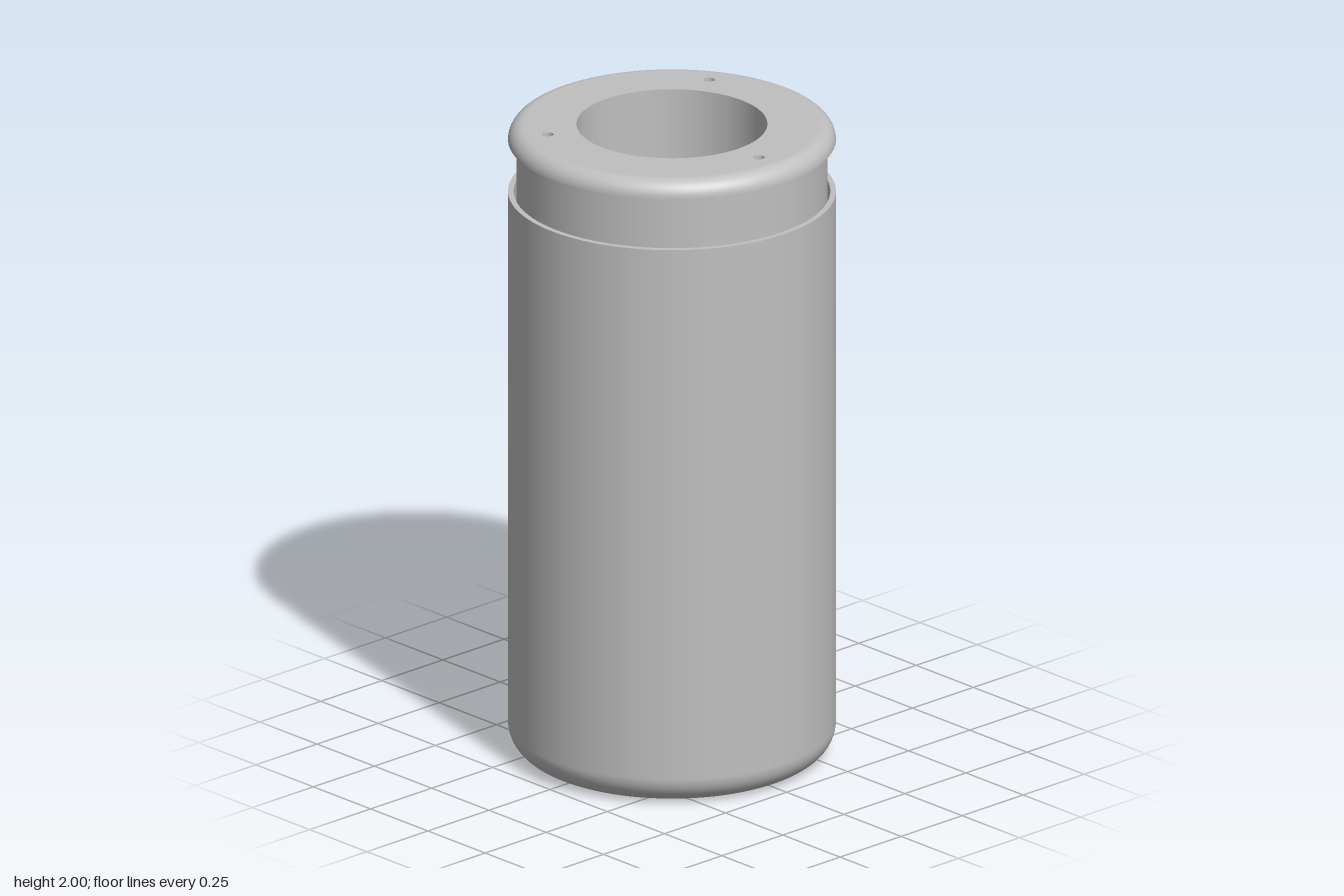
import * as THREE from 'three';

const SEG = 96;
const holes = [[0, 0.38], [0.33, -0.19], [-0.33, -0.19]]; // x, z of the bolt holes
const HOLE_R = 0.017;

// Points of a rounded corner, from angle a0 to a1
function arc(cx, cy, r, a0, a1, n = 12) {
  return Array.from({ length: n + 1 }, (_, i) => {
    const a = a0 + (a1 - a0) * i / n;
    return [cx + r * Math.cos(a), cy + r * Math.sin(a)];
  });
}

export function createModel() {
  const model = new THREE.Group();
  const grey = new THREE.MeshStandardMaterial({ color: 0xc0c0c0 });
  grey.name = 'satin grey';
  grey.side = THREE.DoubleSide;

  const add = (name, geometry, parent) => {
    const mesh = new THREE.Mesh(geometry, grey);
    mesh.name = name;
    parent.add(mesh);
    return mesh;
  };
  // One smooth run of a turned profile; separate runs keep the edges sharp
  const turn = (name, points, parent) =>
    add(name, new THREE.LatheGeometry(points.map(p => new THREE.Vector2(...p)), SEG), parent);

  // Flat disc pierced by the bolt holes; dir = 1 faces up, -1 faces down
  const plate = (name, radius, y, dir, bore, parent) => {
    const shape = new THREE.Shape().absarc(0, 0, radius, 0, Math.PI * 2);
    const pierce = (x, v, r) => shape.holes.push(new THREE.Path().absarc(x, v, r, 0, Math.PI * 2, true));
    for (const [x, z] of holes) pierce(x, -dir * z, HOLE_R);
    if (bore) pierce(0, 0, bore);
    const geometry = new THREE.ShapeGeometry(shape, SEG);
    geometry.rotateX(-dir * Math.PI / 2).translate(0, y, 0);
    add(name, geometry, parent);
  };

  // Outer sleeve with rounded foot
  const sleeve = new THREE.Group();
  sleeve.name = 'sleeve';
  turn('sleeveWall', [...arc(0.4, 0.09, 0.09, -Math.PI / 2, 0), [0.49, 1.785]], sleeve);
  turn('sleeveRim', [[0.49, 1.785], [0.473, 1.785]], sleeve);
  turn('sleeveInside', [[0.473, 1.785], [0.473, 1.6]], sleeve);
  turn('sleeveLedge', [[0.473, 1.6], [0.464, 1.6]], sleeve);
  plate('base', 0.4, 0, -1, 0, sleeve);

  // Inner core: neck, flange and deep central bore
  const core = new THREE.Group();
  core.name = 'core';
  turn('neck', [[0.464, 1.6], [0.464, 1.95]], core);
  turn('flangeUnderside', [[0.464, 1.95], [0.49, 1.95]], core);
  turn('flangeEdge', arc(0.44, 1.95, 0.05, 0, Math.PI / 2), core);
  plate('flangeTop', 0.44, 2, 1, 0.285, core);
  turn('bore', [[0.285, 2], [0.285, 0.1]], core);
  turn('boreFloor', [[0.285, 0.1], [0, 0.1]], core);

  // Bolt holes running through the whole height
  for (const [x, z] of holes) {
    const tube = new THREE.CylinderGeometry(HOLE_R, HOLE_R, 2, 32, 1, true);
    add('boltHole', tube, core).position.set(x, 1, z);
  }

  model.add(sleeve, core);
  return model;
}
